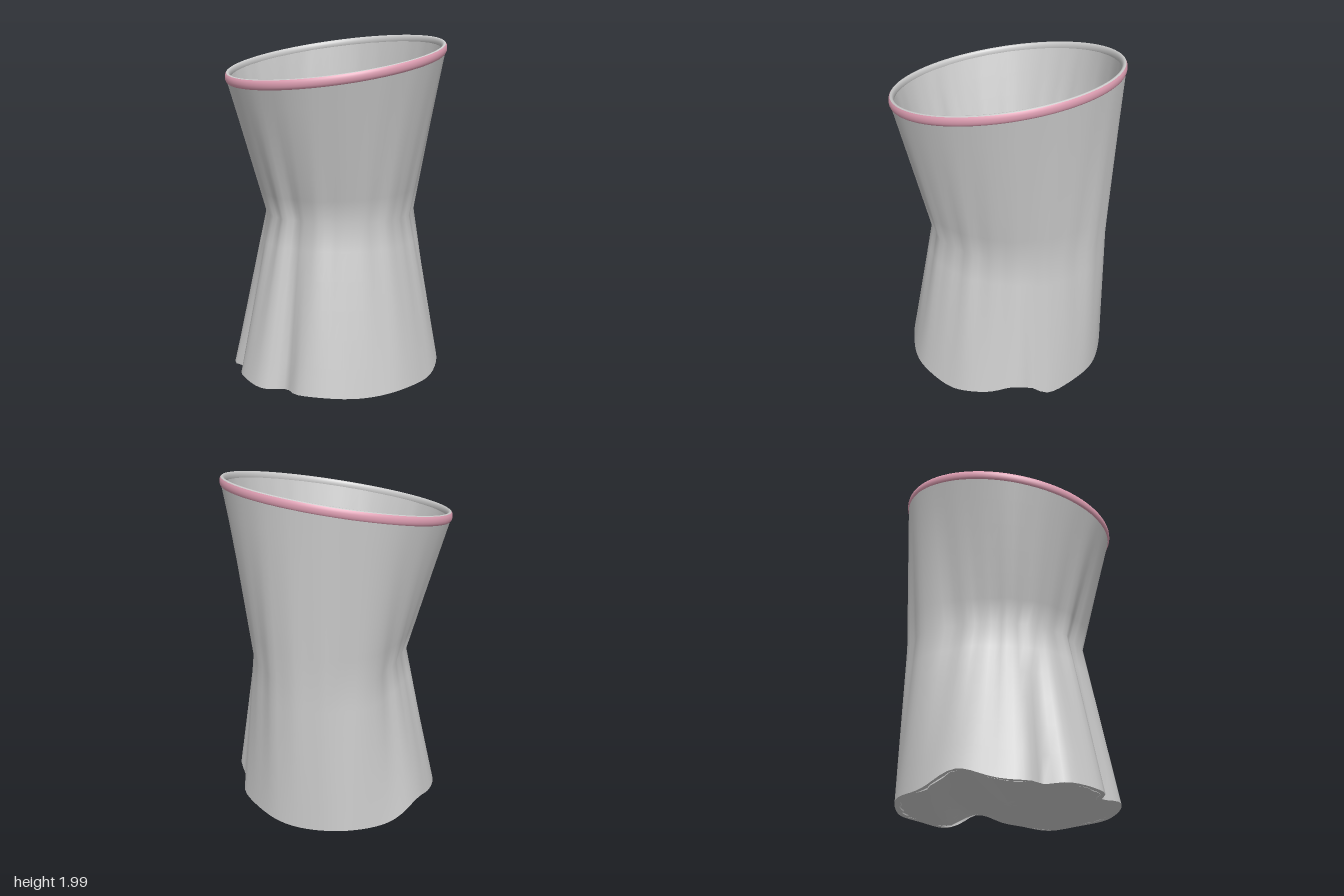
import * as THREE from 'three';

const SEG = 90;
const TAU = Math.PI * 2;
const rad = THREE.MathUtils.degToRad;
const lerp = THREE.MathUtils.lerp;

// Surface closed around the y axis: fn(angle, t) gives a point, angle 0 = front, growing towards +x
function loopSurface(rows, fn) {
  const pos = [], index = [];
  for (let j = 0; j <= rows; j++) {
    for (let i = 0; i < SEG; i++) pos.push(...fn((i / SEG) * TAU, j / rows));
  }
  for (let j = 0; j < rows; j++) {
    for (let i = 0; i < SEG; i++) {
      const n = (i + 1) % SEG;
      const a = j * SEG + i, b = j * SEG + n, c = a + SEG, d = b + SEG;
      index.push(a, b, d, a, d, c);
    }
  }
  const geo = new THREE.BufferGeometry();
  geo.setAttribute('position', new THREE.Float32BufferAttribute(pos, 3));
  geo.setIndex(index);
  geo.computeVertexNormals();
  return geo;
}

// Smooth bump around one angle (degrees)
function bump(a, centre, width) {
  let d = a - rad(centre);
  d = Math.atan2(Math.sin(d), Math.cos(d)) / rad(width);
  return Math.exp(-d * d);
}

// Waist radius every 22.5 degrees, pinched at the front and sides, straight at the back
const WAIST = [0.435, 0.44, 0.455, 0.45, 0.445, 0.47, 0.51, 0.56,
  0.61, 0.585, 0.55, 0.45, 0.415, 0.41, 0.41, 0.42];
const WAIST_Y = 0.95;

function waistRadius(a) {
  const f = (a / TAU) * 16, i = Math.floor(f);
  const base = lerp(WAIST[i % 16], WAIST[(i + 1) % 16], f - i);
  const ripple = 0.005 * Math.sin(a * 13 + 1) + 0.005 * Math.sin(a * 22);
  return base + ripple - 0.025 * bump(a, -17, 6);
}

// Bottom edge: a few folds and a notched, wavy outline
function bottomRadius(a) {
  const folds = 0.07 * bump(a, -15, 7) + 0.07 * bump(a, -60, 6) + 0.03 * bump(a, 128, 5);
  return 0.617 + 0.004 * Math.sin(a * 9) - folds;
}
function bottomY(a) {
  return 0.016 + 0.006 * Math.sin(a * 7 + 1) + 0.1 * bump(a, 118, 13)
    + 0.04 * bump(a, 95, 14) + 0.06 * bump(a, -104, 14);
}

// Slanted mouth plane
const topY = (x, z) => 1.84 + 0.08 * x - 0.2 * z;
const RIM_R = 0.628, RIM_T = 0.015, RIM_H = 0.028;

// Wall point; t runs 0 at the bottom, 0.5 at the waist, 1 at the mouth
function wallPoint(a, t, topR, inset) {
  const s = Math.sin(a), c = Math.cos(a);
  const k = t < 0.5 ? t * 2 : t * 2 - 1;
  const rw = waistRadius(a) - inset;
  const r = t < 0.5 ? lerp(bottomRadius(a) - inset, rw, k) : lerp(rw, topR, k);
  const y = t < 0.5 ? lerp(bottomY(a), WAIST_Y, k) : lerp(WAIST_Y, topY(topR * s, topR * c), k);
  return [r * s, y, r * c];
}

// Strip of the rounded rim between two section angles (0 = outward, 90 = up)
function rimStrip(from, to) {
  return loopSurface(8, (a, t) => {
    const p = rad(lerp(from, to, t));
    const s = Math.sin(a), c = Math.cos(a);
    const r = RIM_R + RIM_T * Math.cos(p);
    return [r * s, topY(RIM_R * s, RIM_R * c) + RIM_H * Math.sin(p), r * c];
  });
}

// Base point: straight across in x between the left and right bottom edges
function basePoint(a, t, inset, lift) {
  const k = Math.max(t, 0.001);
  const side = Math.acos(k * Math.cos(a));
  const across = (k * Math.sin(a)) / Math.max(Math.sin(side), 1e-4);
  const y = lerp(bottomY(-side), bottomY(side), (across + 1) / 2) + lift;
  const r = (bottomRadius(a) - inset) * k;
  return [r * Math.sin(a), y, r * Math.cos(a)];
}

export function createModel() {
  const group = new THREE.Group();
  const grey = new THREE.MeshStandardMaterial({ color: 0xcccccc, side: THREE.DoubleSide });
  const pink = new THREE.MeshStandardMaterial({ color: 0xe0a0b4, side: THREE.DoubleSide });
  const add = (name, geo, mat = grey) => {
    const mesh = new THREE.Mesh(geo, mat);
    mesh.name = name;
    group.add(mesh);
  };

  // Pinched vessel walls, the inner one more crumpled
  add('outerWall', loopSurface(12, (a, t) => wallPoint(a, t, RIM_R + 0.01, 0)));
  add('innerWall', loopSurface(12, (a, t) =>
    wallPoint(a, 1 - t, RIM_R - 0.012, 0.032 + 0.008 * Math.sin(a * 31))));

  // Closed base that follows the wavy bottom edge, with the floor inside
  add('base', loopSurface(14, (a, t) => basePoint(a, t, 0, 0)));
  add('floor', loopSurface(14, (a, t) => basePoint(a, 1 - t, 0.032, 0.03)));

  // Rounded mouth with a tinted outer band
  add('rimBand', rimStrip(-120, 60), pink);
  add('rimLip', rimStrip(60, 240));

  return group;
}
